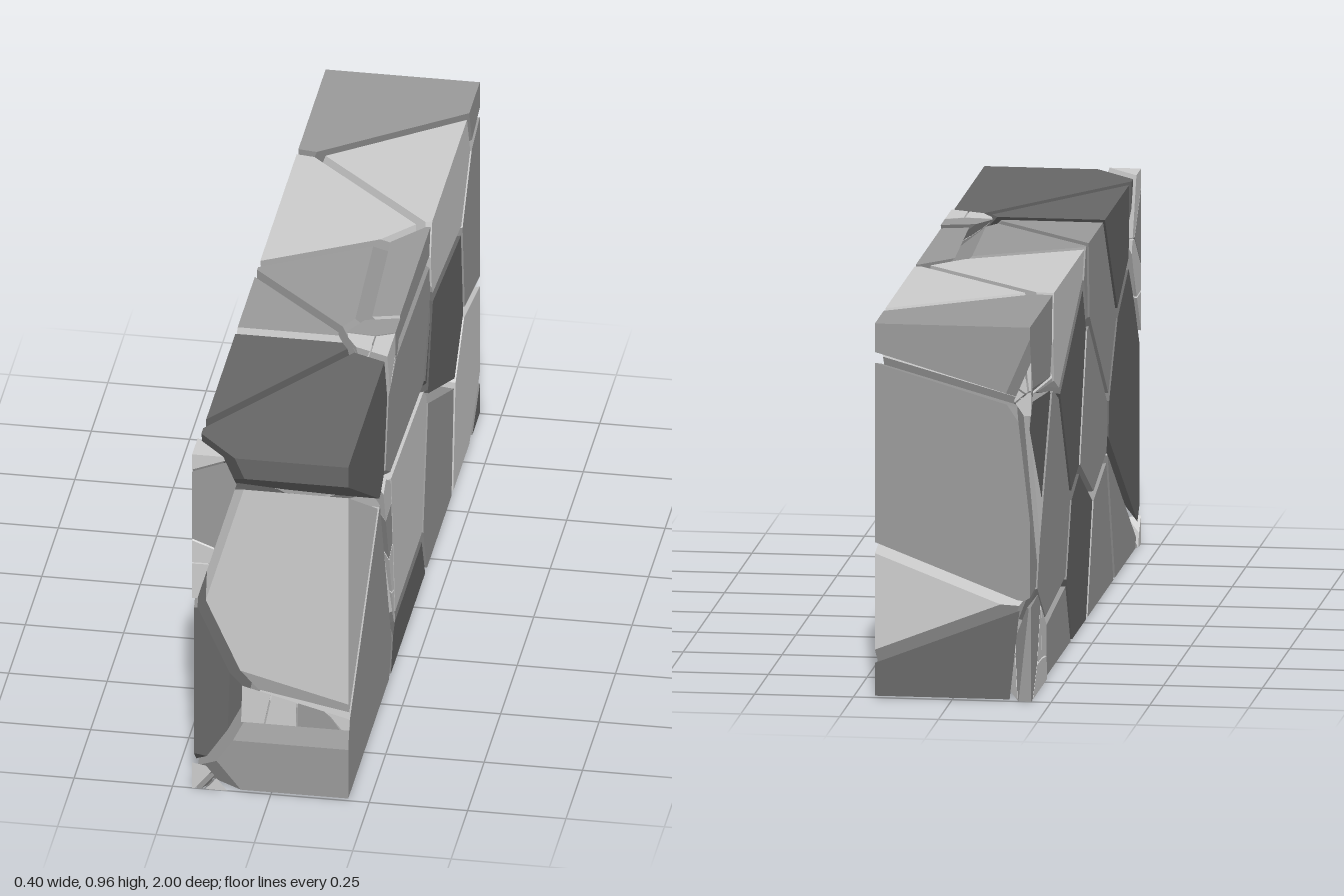
import * as THREE from 'three';
import { ConvexGeometry } from 'three/addons/geometries/ConvexGeometry.js';

const LIGHT = 0xcccccc, MID = 0x999999, DARK = 0x666666;

// Cell centres [x, y, z] of the cracked slab, grouped by shade
const STONES = [
  [LIGHT, [[0.1, 0.62, 0.93], [0.1, 0.88, -0.57], [0.1, 0.34, 0.08], [0.19, 0.18, -0.83], [-0.15, 0.93, -0.31]]],
  [MID, [[0.05, 0.21, 0.6], [0.06, 0.765, 0.06], [0.28, 1.03, 0.05], [-0.08, 0.98, -0.81], [0.1, 0.23, -0.4],
    [0.04, 0.57, -0.9], [-0.12, 0.52, 0.12], [-0.12, 0.4, -0.52], [-0.15, 0.06, 0.22], [-0.15, -0.08, -0.48],
    [-0.2, 0.79, 0.33]]],
  [DARK, [[0.1, 0.94, 0.73], [-0.2, 0.95, 0.52], [0.12, 0.52, -0.53], [0, 0.02, 0.08], [0.1, -0.05, -1],
    [-0.3, 0.44, 0.74], [-0.12, 0.64, -0.18], [-0.4, 0.62, -0.85], [-0.15, 0.17, -0.05]]],
];

// Centres lying outside the slab cut shallow pockets that hold small chips
const CHIPS = [
  { at: [0.05, 0.43, 1.31], pieces: 4, along: 'x' },
  { at: [-0.4, -0.15, 1.33], pieces: 4 },
  { at: [-0.34, 0.75, 1.14], pieces: 4, along: 'y' },
  { at: [0.32, 1.12, 0.2], pieces: 5 },
  { at: [0.465, 0.3, 0.35], pieces: 4, along: 'y' },
  { at: [-0.38, 0.85, -1.15], pieces: 5 },
  { at: [-0.36, -0.1, -0.86], pieces: 4 },
];

let state = 7;
const random = () => (state = (state * 16807) % 2147483647) / 2147483647;

// Six walls of the slab, pulled in by a small inset
function slabPlanes(inset) {
  const box = new THREE.Box3(new THREE.Vector3(-0.2, 0, -1), new THREE.Vector3(0.2, 0.96, 1)).expandByScalar(-inset);
  const planes = [];
  for (const axis of ['x', 'y', 'z']) {
    const n = new THREE.Vector3();
    n[axis] = 1;
    planes.push({ n, d: box.max[axis] }, { n: n.clone().negate(), d: -box.min[axis] });
  }
  return planes;
}

// Planes halfway to every other centre, moved back to leave a crack
function crackPlanes(seed, seeds, gap) {
  return seeds.filter((s) => s !== seed).map((s) => {
    const n = s.clone().sub(seed).normalize();
    return { n, d: n.dot(s.clone().add(seed).multiplyScalar(0.5)) - gap };
  });
}

// Corners of the convex solid enclosed by the planes
function corners(planes) {
  const points = [], bc = new THREE.Vector3();
  const count = planes.length;
  for (let i = 0; i < count; i++) for (let j = i + 1; j < count; j++) for (let k = j + 1; k < count; k++) {
    const a = planes[i], b = planes[j], c = planes[k];
    const det = a.n.dot(bc.crossVectors(b.n, c.n));
    if (Math.abs(det) < 1e-6) continue;
    const p = bc.clone().multiplyScalar(a.d)
      .addScaledVector(new THREE.Vector3().crossVectors(c.n, a.n), b.d)
      .addScaledVector(new THREE.Vector3().crossVectors(a.n, b.n), c.d)
      .divideScalar(det);
    if (planes.some((q) => q.n.dot(p) > q.d + 1e-6)) continue;
    if (!points.some((q) => q.distanceTo(p) < 1e-4)) points.push(p);
  }
  return points;
}

function addStone(group, name, points, material) {
  if (points.length < 4) return;
  const mesh = new THREE.Mesh(new ConvexGeometry(points), material);
  mesh.name = name;
  group.add(mesh);
}

export function createModel() {
  const model = new THREE.Group();
  model.name = 'crackedStoneSlab';
  const materials = new Map([LIGHT, MID, DARK].map((color) =>
    [color, new THREE.MeshStandardMaterial({ color, flatShading: true })]));

  const stones = STONES.flatMap(([color, list]) => list.map((p) => ({ color, seed: new THREE.Vector3(...p) })));
  const pockets = CHIPS.map((chip) => ({ ...chip, seed: new THREE.Vector3(...chip.at) }));
  const seeds = [...stones, ...pockets].map((s) => s.seed);

  // Large stones
  const large = new THREE.Group();
  large.name = 'largeStones';
  stones.forEach(({ color, seed }, i) => {
    const planes = [...slabPlanes(0.004), ...crackPlanes(seed, seeds, 0.013)];
    addStone(large, `stone${i + 1}`, corners(planes), materials.get(color));
  });
  model.add(large);

  // Small chips: each pocket is split again with finer cracks
  pockets.forEach(({ seed, pieces, along }, i) => {
    const group = new THREE.Group();
    group.name = `chipCluster${i + 1}`;
    const planes = [...slabPlanes(0), ...crackPlanes(seed, seeds, 0.008)];
    const hull = corners(planes);
    if (hull.length < 4) return;
    const box = new THREE.Box3().setFromPoints(hull);
    const middle = box.getCenter(new THREE.Vector3());
    const chipSeeds = Array.from({ length: pieces }, (_, k) => {
      const p = middle.clone().lerp(hull[Math.floor(random() * hull.length)], 0.25 + 0.35 * random());
      if (along) p[along] = THREE.MathUtils.lerp(box.min[along], box.max[along], (k + 0.3 + 0.4 * random()) / pieces);
      return p;
    });
    chipSeeds.forEach((s, k) => {
      const points = corners([...planes, ...crackPlanes(s, chipSeeds, 0.002)]);
      addStone(group, `chip${k + 1}`, points, materials.get(k % 3 === 2 ? MID : LIGHT));
    });
    model.add(group);
  });
  return model;
}
